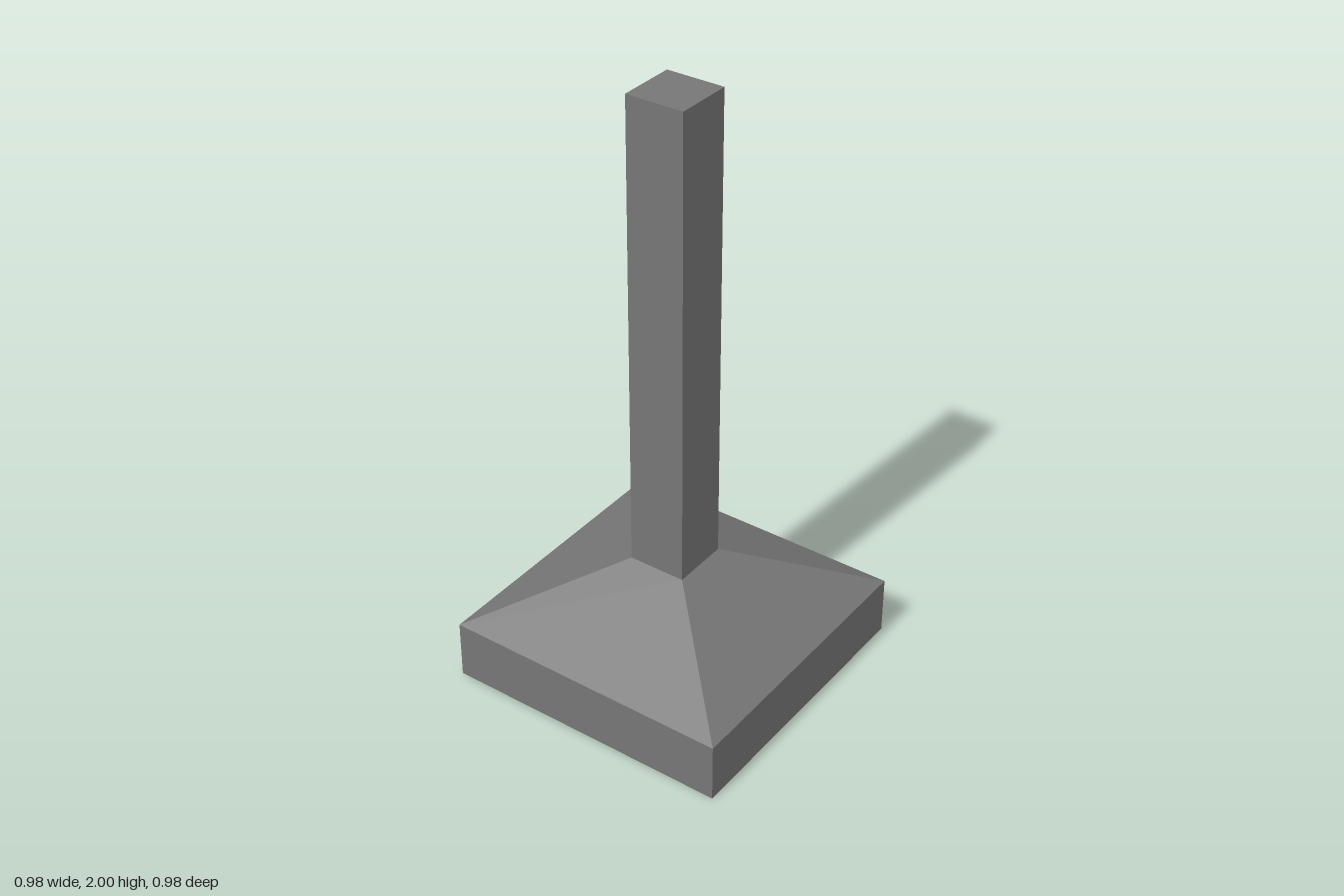
import * as THREE from 'three';

export function createModel() {
  const group = new THREE.Group();
  group.name = 'columnFooting';
  const concrete = new THREE.MeshStandardMaterial({ color: 0x767676 });
  concrete.name = 'concrete grey';

  const baseHalf = 0.49, columnHalf = 0.098;

  function add(name, geometry, y) {
    const mesh = new THREE.Mesh(geometry, concrete);
    mesh.name = name;
    mesh.position.y = y;
    group.add(mesh);
  }

  // Square footing slab
  add('footingSlab', new THREE.BoxGeometry(baseHalf * 2, 0.2, baseHalf * 2), 0.1);

  // Sloped shoulder: a four-sided frustum turned square to the axes
  const slope = new THREE.CylinderGeometry(
    columnHalf * Math.SQRT2, baseHalf * Math.SQRT2, 0.2, 4, 1, true
  ).rotateY(Math.PI / 4).toNonIndexed();
  slope.computeVertexNormals();
  add('slopedShoulder', slope, 0.3);

  // Square column
  add('column', new THREE.BoxGeometry(columnHalf * 2, 1.6, columnHalf * 2), 1.2);

  return group;
}
